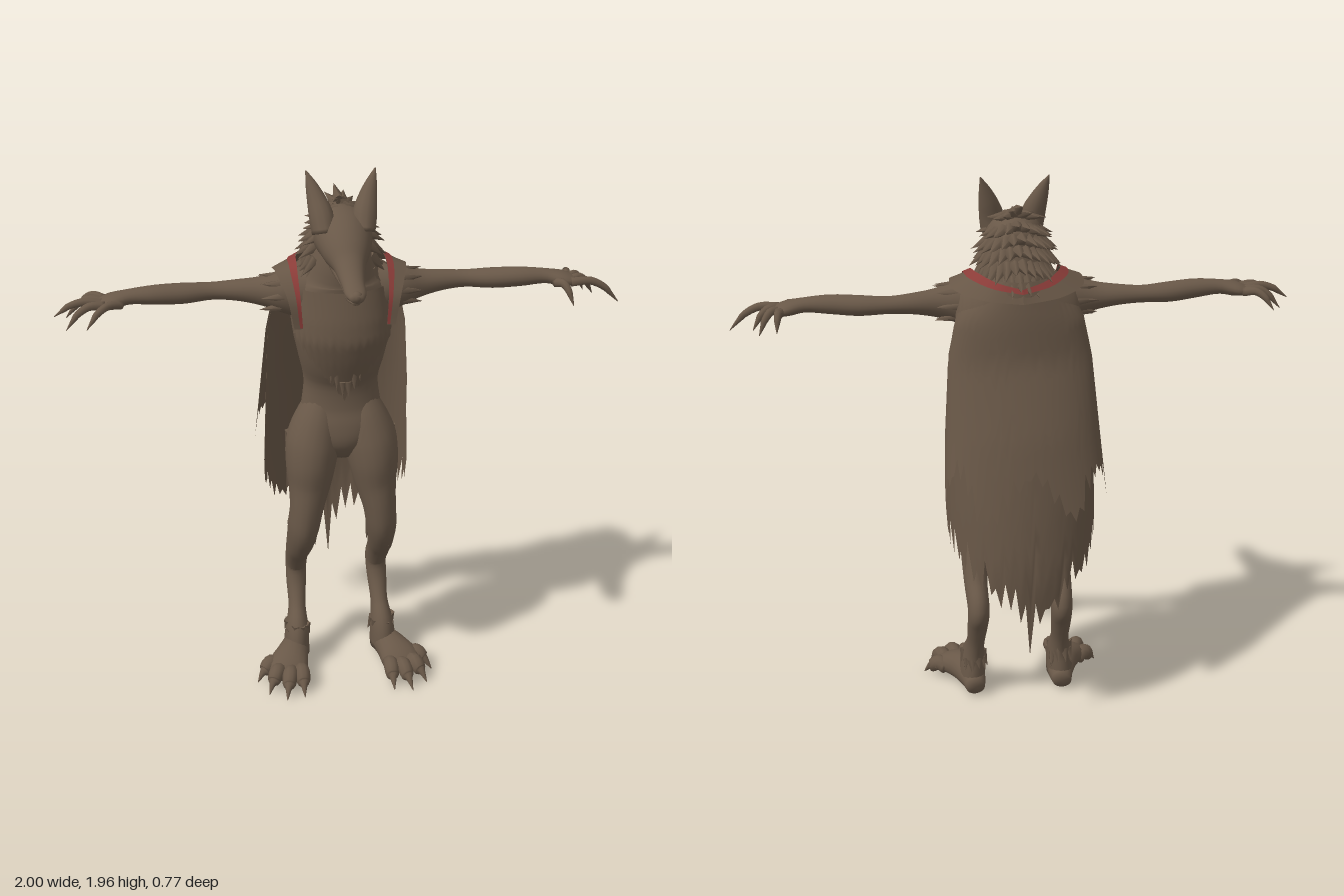
import * as THREE from 'three';
import { mergeGeometries } from 'three/addons/utils/BufferGeometryUtils.js';

const V = (x, y, z) => new THREE.Vector3(x, y, z);
const X = V(1, 0, 0), Z = V(0, 0, 1);

export function createModel() {
  const model = new THREE.Group();
  const fur = new THREE.MeshStandardMaterial({ color: 0x695848 });
  fur.name = 'brown fur';
  const cloth = new THREE.MeshStandardMaterial({ color: 0x675646, side: THREE.DoubleSide });
  cloth.name = 'brown cloth';
  const red = new THREE.MeshStandardMaterial({ color: 0x8a3c38, side: THREE.DoubleSide });
  red.name = 'red trim';

  let seed = 7;
  const rnd = () => (seed = (seed * 16807) % 2147483647) / 2147483647;
  const add = (name, geo, mat = fur) => {
    const m = new THREE.Mesh(geo, mat);
    m.name = name;
    model.add(m);
    return m;
  };
  const grid = (pos, idx) => {
    const g = new THREE.BufferGeometry();
    g.setAttribute('position', new THREE.Float32BufferAttribute(pos, 3));
    g.setIndex(idx);
    g.computeVertexNormals();
    return g;
  };

  // Smooth body through oval stations [x, y, z, half width along ref, half depth]
  function loft(stations, ref = X, sides = 18, steps = 4) {
    const path = new THREE.CatmullRomCurve3(stations.map(s => V(s[0], s[1], s[2])));
    const size = new THREE.CatmullRomCurve3(stations.map(s => V(s[3], s[4], 0)), false, 'catmullrom', 0.5);
    const n = (stations.length - 1) * steps, pos = [], idx = [];
    for (let i = 0; i <= n; i++) {
      const p = path.getPoint(i / n), t = path.getTangent(i / n), r = size.getPoint(i / n);
      const u = ref.clone().addScaledVector(t, -ref.dot(t)).normalize();
      const v = t.clone().cross(u);
      for (let j = 0; j < sides; j++) {
        const a = j / sides * Math.PI * 2;
        const q = p.clone().addScaledVector(u, Math.max(r.x, 0.001) * Math.cos(a))
          .addScaledVector(v, Math.max(r.y, 0.001) * Math.sin(a));
        pos.push(q.x, q.y, q.z);
      }
    }
    for (let i = 0; i < n; i++) for (let j = 0; j < sides; j++) {
      const k = (j + 1) % sides, a = i * sides + j, b = i * sides + k;
      idx.push(a, b, b + sides, a, b + sides, a + sides);
    }
    const first = path.getPoint(0), last = path.getPoint(1), c = (n + 1) * sides;
    pos.push(first.x, first.y, first.z, last.x, last.y, last.z);
    for (let j = 0; j < sides; j++) {
      const k = (j + 1) % sides;
      idx.push(c, k, j, c + 1, n * sides + j, n * sides + k);
    }
    return grid(pos, idx);
  }

  // Curved hanging sheet; rows [y, half width, z at edges, z at middle], ragged hem
  function drape(rows, hem, rag, cols = 44, n = 18) {
    const pos = [], idx = [];
    for (let i = 0; i <= cols; i++) {
      const u = i / cols * 2 - 1;
      const end = hem(Math.abs(u)) + (i % 2 ? rag * (0.5 + rnd()) : rag * 0.5 * rnd());
      for (let j = 0; j <= n; j++) {
        const y = rows[0][0] + (end - rows[0][0]) * j / n;
        let k = 0;
        while (k < rows.length - 2 && rows[k + 1][0] > y) k++;
        const f = (rows[k][0] - y) / (rows[k][0] - rows[k + 1][0]);
        const [w, ze, zm] = [1, 2, 3].map(m => rows[k][m] + (rows[k + 1][m] - rows[k][m]) * f);
        const a = u * Math.PI / 2;
        pos.push(w * Math.sin(a), y, ze + (zm - ze) * Math.cos(a));
        if (i < cols && j < n) {
          const q = i * (n + 1) + j;
          idx.push(q, q + 1, q + n + 2, q, q + n + 2, q + n + 1);
        }
      }
    }
    return grid(pos, idx);
  }

  // Strip between two curves
  function ribbon(a, b, n = 28) {
    const ca = new THREE.CatmullRomCurve3(a), cb = new THREE.CatmullRomCurve3(b), pos = [], idx = [];
    for (let i = 0; i <= n; i++) {
      pos.push(...ca.getPoint(i / n).toArray(), ...cb.getPoint(i / n).toArray());
      if (i < n) idx.push(2 * i, 2 * i + 1, 2 * i + 3, 2 * i, 2 * i + 3, 2 * i + 2);
    }
    return grid(pos, idx);
  }

  // Pointed lock of fur
  function tuft(p, dir, len, r) {
    const g = new THREE.ConeGeometry(r, len, 5);
    g.translate(0, len * 0.35, 0);
    g.applyQuaternion(new THREE.Quaternion().setFromUnitVectors(V(0, 1, 0), dir.normalize()));
    return g.translate(p.x, p.y, p.z);
  }

  // Torso, neck and chest fur
  add('torso', loft([[0, 0.9, 0.02, 0.04, 0.05], [0, 0.96, 0.015, 0.12, 0.095], [0, 1.03, 0.005, 0.16, 0.1],
    [0, 1.1, 0, 0.145, 0.088], [0, 1.2, 0, 0.135, 0.09], [0, 1.3, 0.02, 0.155, 0.11], [0, 1.4, 0.02, 0.175, 0.13],
    [0, 1.5, 0, 0.18, 0.13], [0, 1.58, -0.01, 0.15, 0.138], [0, 1.66, 0.005, 0.11, 0.125], [0, 1.74, 0, 0.09, 0.1]], X, 28));
  add('chestFur', drape([[1.56, 0.15, 0.04, 0.125], [1.45, 0.172, 0.03, 0.155], [1.38, 0.178, 0.03, 0.165],
    [1.3, 0.16, 0.03, 0.145], [1.2, 0.142, 0.02, 0.11], [1.1, 0.145, 0.02, 0.095]], u => 1.13 + 0.29 * u, 0.04, 36), cloth);
  const chest = [];
  for (let i = 0; i < 14; i++) {
    const x = (i / 13 - 0.5) * 0.26, y = 1.2 + Math.abs(x) * 1.5;
    chest.push(tuft(V(x, y, 0.115 + 0.1 * (y - 1.2) - x * x * 3.6), V(x, -1, 0.12), 0.06, 0.014));
  }
  add('chestLocks', mergeGeometries(chest));

  // Head
  add('head', loft([[0, 1.72, -0.09, 0.06, 0.06], [0, 1.74, 0, 0.1, 0.1], [0, 1.74, 0.07, 0.1, 0.092],
    [0, 1.712, 0.15, 0.08, 0.073], [0, 1.687, 0.21, 0.055, 0.047], [0, 1.654, 0.29, 0.04, 0.03],
    [0, 1.638, 0.35, 0.036, 0.022], [0, 1.633, 0.388, 0.022, 0.014]], X, 24));
  add('lowerJaw', loft([[0, 1.665, 0.1, 0.06, 0.035], [0, 1.652, 0.18, 0.05, 0.025], [0, 1.632, 0.26, 0.035, 0.018],
    [0, 1.614, 0.33, 0.028, 0.013], [0, 1.61, 0.362, 0.012, 0.007]]));
  const nose = add('nose', new THREE.SphereGeometry(0.02, 14, 10));
  nose.position.set(0, 1.637, 0.372);

  // Mane: rows of locks round the back and cheeks
  const mane = [];
  [[1.855, 0.03, 0.6], [1.81, 0.07, 0.35], [1.77, 0.09, 0.2], [1.73, 0.1, 0], [1.68, 0.108, -0.2], [1.63, 0.112, -0.5]]
    .forEach(([y, r, lift], row) => {
      const count = 9 + row * 2;
      for (let i = 0; i < count; i++) {
        const a = ((i + 0.5 * (row % 2)) / (count - 0.5) - 0.5) * 3.9, side = Math.abs(Math.sin(a));
        const out = V(Math.sin(a), 0, -Math.cos(a));
        mane.push(tuft(V(out.x * r, y - 0.03 * side, out.z * r * 1.2),
          V(out.x * 0.8, lift - 0.6 * side, out.z - 0.25), 0.07 + rnd() * 0.03, 0.024));
      }
    });
  add('mane', mergeGeometries(mane));

  // Cape in two ragged layers
  add('capeLongLayer', drape([[1.63, 0.14, 0, -0.16], [1.58, 0.21, -0.02, -0.18], [1.5, 0.22, -0.09, -0.19],
    [1.37, 0.25, -0.1, -0.2], [1.1, 0.26, -0.11, -0.27], [0.8, 0.27, -0.12, -0.335], [0.6, 0.26, -0.16, -0.365],
    [0.3, 0.23, -0.26, -0.345]], u => 0.29 + 0.38 * u ** 0.6, 0.11), cloth);
  add('capeShortLayer', drape([[1.6, 0.16, -0.03, -0.18], [1.5, 0.225, -0.1, -0.2], [1.35, 0.255, -0.12, -0.215],
    [1.1, 0.275, -0.17, -0.315], [0.85, 0.29, -0.26, -0.385]], u => 0.87 + 0.07 * Math.cos(u * 9), 0.08), cloth);

  // Fingers: tip positions for each hand, thumb last
  const tips = {
    '1': [[0.84, 1.47, -0.1], [0.9, 1.455, -0.07], [0.92, 1.46, -0.02], [1.0, 1.445, 0.045], [0.82, 1.46, 0.105]],
    '-1': [[0.92, 1.47, -0.1], [0.96, 1.46, -0.04], [1.0, 1.485, 0.01], [0.96, 1.455, 0.07], [0.89, 1.47, 0.115]],
  };

  for (const s of [1, -1]) {
    const side = s > 0 ? 'left' : 'right';
    const m = list => list.map(([x, ...rest]) => [x * s, ...rest]);
    const limb = (name, list, ref, sides) => add(side + name, loft(m(list), ref, sides));

    // Ear, leaning back from the brow
    limb('Ear', [[0.068, 1.765, 0.075, 0.042, 0.06], [0.075, 1.82, 0.058, 0.043, 0.046],
      [0.088, 1.87, 0.036, 0.034, 0.033], [0.104, 1.92, 0.017, 0.02, 0.018], [0.12, 1.965, 0, 0.002, 0.002]], X, 12);

    // Arm and hand
    limb('Arm', [[0.1, 1.52, -0.01, 0.09, 0.1], [0.2, 1.53, -0.01, 0.075, 0.078], [0.28, 1.532, -0.02, 0.052, 0.052],
      [0.36, 1.535, -0.03, 0.042, 0.038], [0.45, 1.535, -0.035, 0.035, 0.031], [0.55, 1.535, -0.025, 0.043, 0.036],
      [0.65, 1.54, -0.01, 0.04, 0.034], [0.74, 1.54, -0.004, 0.034, 0.026], [0.8, 1.53, 0, 0.052, 0.025],
      [0.845, 1.522, 0, 0.045, 0.016]], Z);
    tips[s].forEach(([x, y, z], i) => {
      const thumb = i === 4, b = thumb ? [0.77, 1.525, 0.03] : [0.825, 1.525, -0.036 + i * 0.024];
      const at = (f, up) => [b[0] + (x - b[0]) * f, b[1] + (y - b[1]) * f * f + up, b[2] + (z - b[2]) * f];
      limb(thumb ? 'Thumb' : 'Finger', [[...b, 0.018, 0.017], [...at(0.4, 0.016), 0.015, 0.015],
        [...at(0.7, 0.016), 0.012, 0.012], [...at(0.8, 0.01), 0.009, 0.009], [x, y, z, 0.001, 0.001]], Z, 8);
    });

    // Leg, bent backward at the hock
    limb('Leg', [[0.065, 1.14, 0, 0.05, 0.055], [0.085, 1.05, 0.008, 0.082, 0.092], [0.105, 0.96, 0.018, 0.098, 0.112],
      [0.115, 0.88, 0.035, 0.092, 0.11], [0.122, 0.8, 0.045, 0.078, 0.096], [0.135, 0.71, 0.06, 0.062, 0.082],
      [0.145, 0.63, 0.045, 0.057, 0.088], [0.152, 0.55, 0, 0.05, 0.078], [0.157, 0.46, -0.07, 0.043, 0.055],
      [0.155, 0.38, -0.128, 0.04, 0.056], [0.157, 0.31, -0.11, 0.038, 0.038], [0.16, 0.22, -0.068, 0.033, 0.042],
      [0.165, 0.14, -0.03, 0.045, 0.068], [0.17, 0.05, -0.02, 0.05, 0.08]]);
    limb('Foot', [[0.165, 0.045, -0.105, 0.035, 0.03], [0.17, 0.06, -0.04, 0.05, 0.05], [0.19, 0.068, 0.03, 0.06, 0.055],
      [0.215, 0.056, 0.1, 0.075, 0.045], [0.225, 0.035, 0.155, 0.06, 0.022]]);
    [[0.17, 0.12, 0.17, 0.25], [0.205, 0.13, 0.238, 0.262], [0.245, 0.115, 0.3, 0.215], [0.255, 0.06, 0.335, 0.125]]
      .forEach(([x, z, tx, tz]) => {
        const at = (f, y, r) => [x + (tx - x) * f, y, z + (tz - z) * f, r, r];
        limb('Toe', [at(0, 0.05, 0.027), at(0.35, 0.064, 0.029), at(0.62, 0.042, 0.025),
          at(0.72, 0.038, 0.014), at(1, 0.006, 0.001)], Math.abs(tx - x) > 0.07 ? Z : X, 10);
      });

    // Fur locks: knee, back of thigh, hip, ankle and shoulder
    const locks = [];
    const ring = (cx, y, cz, rx, rz, count, len, spread) => {
      for (let i = 0; i < count; i++) {
        const a = i / count * Math.PI * 2, o = V(Math.cos(a), 0, Math.sin(a));
        locks.push(tuft(V(s * (cx + o.x * rx), y + 0.03 * rnd(), cz + o.z * rz), V(o.x * s * spread, -1, o.z * spread - 0.25),
          len * (0.8 + rnd() * 0.5), 0.018));
      }
    };
    ring(0.146, 0.6, 0.03, 0.043, 0.07, 12, 0.08, 0.1);
    ring(0.164, 0.14, -0.035, 0.036, 0.052, 10, 0.05, 0.3);
    for (let i = 0; i < 8; i++) {
      locks.push(tuft(V(s * (0.1 + 0.012 * i), 0.95 - 0.022 * i, -0.07 + 0.006 * i), V(s * 0.2, -1, -0.3), 0.08, 0.018));
      locks.push(tuft(V(s * (0.192 - 0.002 * i), 0.98 - 0.03 * i, -0.01 - 0.01 * (i % 3)), V(s * 0.15, -1, -0.2), 0.07, 0.014));
      const a = i / 8 * Math.PI * 2;
      locks.push(tuft(V(s * 0.22, 1.53 + 0.058 * Math.sin(a), -0.01 + 0.058 * Math.cos(a)),
        V(s, 0.12 * Math.sin(a), 0.12 * Math.cos(a)), 0.08, 0.02));
    }
    add(side + 'FurLocks', mergeGeometries(locks));

    // Cape collar over the shoulder with its red border
    const inner = [[0.148, 1.43, 0.11], [0.155, 1.54, 0.1], [0.158, 1.63, 0.03], [0.145, 1.645, -0.07],
      [0.085, 1.625, -0.145], [0, 1.605, -0.175]].map(p => V(p[0] * s, p[1], p[2]));
    const outer = [[0.178, 1.43, 0.112], [0.2, 1.54, 0.1], [0.23, 1.61, 0.015], [0.23, 1.595, -0.085],
      [0.14, 1.575, -0.17], [0, 1.56, -0.195]].map(p => V(p[0] * s, p[1], p[2]));
    add(side + 'Collar', ribbon(inner, outer), cloth);
    const lift = p => p.clone().add(V(0, 0.004, p.z > 0 ? 0.004 : -0.004));
    add(side + 'CollarTrim', ribbon(inner.map(lift), inner.map((p, i) => lift(p.clone().lerp(outer[i], 0.35)))), red);
  }
  return model;
}
